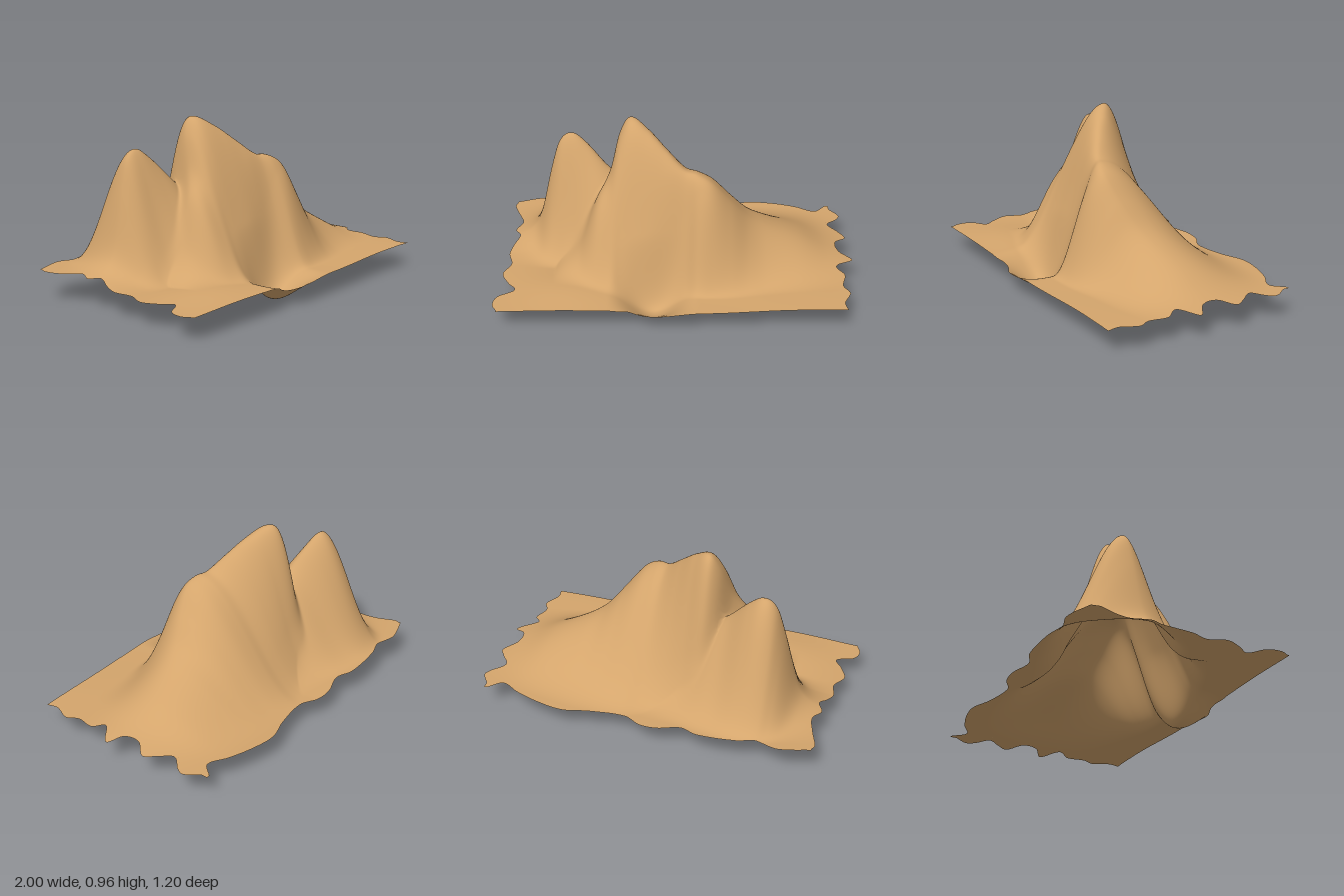
import * as THREE from 'three';

// Smooth curve through rows [key, a, b, ...]; returns the chosen column at k
function sample(rows, k, col = 1) {
  const n = rows.length - 1;
  if (k <= rows[0][0]) return rows[0][col];
  if (k >= rows[n][0]) return rows[n][col];
  let i = 0;
  while (k > rows[i + 1][0]) i++;
  const slope = (j) => {
    const a = rows[Math.max(j - 1, 0)], b = rows[Math.min(j + 1, n)];
    return (b[col] - a[col]) / (b[0] - a[0]);
  };
  const p = rows[i], q = rows[i + 1], w = q[0] - p[0], t = (k - p[0]) / w;
  const t2 = t * t, t3 = t2 * t;
  return p[col] * (2 * t3 - 3 * t2 + 1) + q[col] * (3 * t2 - 2 * t3)
    + w * (slope(i) * (t3 - 2 * t2 + t) + slope(i + 1) * (t3 - t2));
}

const BASE = 0.135;

// Ridges: x, crest height, crest z, front foot z, back foot z
const mainRidge = [
  [-0.68, 0.135, 0.07, 0.34, -0.1],
  [-0.54, 0.29, 0.07, 0.37, -0.12],
  [-0.44, 0.54, 0.06, 0.4, -0.17],
  [-0.36, 0.69, 0.0, 0.43, -0.26],
  [-0.31, 0.87, -0.07, 0.43, -0.35],
  [-0.25, 0.96, -0.09, 0.43, -0.4],
  [-0.15, 0.91, -0.03, 0.42, -0.43],
  [-0.05, 0.82, 0.045, 0.41, -0.47],
  [0.05, 0.735, 0.115, 0.42, -0.51],
  [0.12, 0.725, 0.155, 0.45, -0.54],
  [0.2, 0.68, 0.16, 0.455, -0.55],
  [0.3, 0.56, 0.13, 0.455, -0.55],
  [0.4, 0.44, 0.08, 0.445, -0.55],
  [0.5, 0.37, 0.04, 0.43, -0.54],
  [0.7, 0.27, 0.0, 0.41, -0.51],
  [0.85, 0.19, 0.0, 0.38, -0.48],
  [1.0, 0.14, 0.0, 0.36, -0.45],
];
const sideRidge = [
  [-0.95, 0.15, -0.17, 0.13, -0.5],
  [-0.83, 0.21, -0.17, 0.13, -0.53],
  [-0.77, 0.31, -0.175, 0.14, -0.55],
  [-0.7, 0.6, -0.185, 0.15, -0.58],
  [-0.65, 0.76, -0.19, 0.16, -0.6],
  [-0.58, 0.81, -0.19, 0.2, -0.61],
  [-0.5, 0.76, -0.17, 0.28, -0.61],
  [-0.39, 0.645, -0.13, 0.38, -0.59],
  [-0.3, 0.56, -0.12, 0.4, -0.57],
  [-0.15, 0.37, -0.12, 0.4, -0.53],
  [0.1, 0.135, -0.12, 0.38, -0.5],
];

// Ragged outline of the sheet
const leftEdge = [[-0.56, -0.95], [-0.52, -0.96], [-0.4, -0.92], [-0.3, -0.895], [-0.22, -0.93],
  [-0.15, -0.9], [-0.08, -0.93], [0, -0.95], [0.1, -0.93], [0.2, -0.97], [0.3, -0.93],
  [0.37, -0.89], [0.42, -0.975], [0.5, -1], [0.56, -0.975]];
const rightEdge = [[-0.53, 0.93], [-0.45, 0.98], [-0.4, 0.96], [-0.33, 0.9], [-0.25, 0.95],
  [-0.18, 0.985], [-0.1, 0.92], [0, 0.93], [0.06, 1], [0.15, 0.9], [0.22, 0.94],
  [0.33, 0.92], [0.4, 0.95], [0.5, 0.91], [0.57, 0.92]];
const backEdge = [[-0.96, -0.55], [-0.78, -0.6], [-0.66, -0.57], [-0.55, -0.595], [-0.33, -0.595],
  [-0.23, -0.555], [-0.1, -0.588], [0, -0.58], [0.1, -0.53], [0.3, -0.55], [0.45, -0.59],
  [0.6, -0.57], [0.75, -0.52], [0.86, -0.465], [0.93, -0.53]];
const frontEdge = [[-0.98, 0.56], [-0.3, 0.575], [-0.22, 0.545], [-0.1, 0.59], [0.2, 0.592],
  [0.6, 0.58], [0.9, 0.58]];

const bell = (t) => 0.5 + 0.5 * Math.cos(Math.PI * Math.min(Math.abs(t), 1));

// Height of a ridge above the plain, bell-shaped on each side of its crest
function ridge(rows, x, z, frontPower, backPower) {
  const height = Math.max(sample(rows, x, 1) - BASE, 0);
  const crest = sample(rows, x, 2);
  const foot = sample(rows, x, z > crest ? 3 : 4);
  const t = Math.min((z - crest) / (foot - crest), 1);
  return height * bell(Math.pow(t, z > crest ? frontPower : backPower));
}

function heightAt(x, z) {
  const a = ridge(mainRidge, x, z, 1.03, 1), b = ridge(sideRidge, x, z, 0.78, 0.88);
  // Soft blend of the two ridges
  const k = 0.12, h = Math.max(k - Math.abs(a - b), 0) / k;
  let y = Math.max(a, b) + h * h * k * 0.25 * Math.min(1, Math.min(a, b) * 6);
  // Gully between the two front buttresses, leading to the hollow
  const gullyX = 0.03 - 0.6 * Math.max(z - 0.22, 0);
  y *= 1 - 0.25 * Math.exp(-Math.pow((x - gullyX) / 0.1, 2)) * bell((z - 0.33) / 0.2);
  // Hollow at the front edge
  const dz = z - 0.4;
  const hollow = bell((x + 0.13) / 0.25) * bell(dz / (dz < 0 ? 0.16 : 0.27));
  y = y * (1 - hollow) - 0.135 * hollow;
  // Gentle roll of the plain
  const roll = 0.07 * Math.max(-x, 0) * Math.max(-z, 0)
    + 0.006 * Math.sin(5 * x + 1) * Math.cos(6 * z) - 0.012 * Math.max(z, 0)
    + 0.02 * bell((x + 0.6) / 0.4) * bell((z - 0.35) / 0.3);
  return BASE + y + roll * (1 - hollow);
}

export function createModel() {
  const group = new THREE.Group();
  const nx = 200, nz = 130;
  const geometry = new THREE.PlaneGeometry(2, 1.2, nx, nz).rotateX(-Math.PI / 2);
  const pos = geometry.attributes.position;
  for (let i = 0; i < pos.count; i++) {
    const u = pos.getX(i), v = pos.getZ(i);
    const x0 = u * 0.95, z0 = v * 0.95;
    const x = THREE.MathUtils.lerp(sample(leftEdge, z0), sample(rightEdge, z0), (u + 1) / 2);
    const z = THREE.MathUtils.lerp(sample(backEdge, x0), sample(frontEdge, x0), (v + 0.6) / 1.2);
    pos.setXYZ(i, x, heightAt(x, z), z);
  }
  // Stand the lowest point on the ground
  geometry.computeBoundingBox();
  geometry.translate(0, -geometry.boundingBox.min.y, 0);
  geometry.computeVertexNormals();

  const terrain = new THREE.Mesh(geometry,
    new THREE.MeshStandardMaterial({ color: 0xd4a56c, side: THREE.DoubleSide }));
  terrain.name = 'mountainTerrain';
  group.add(terrain);
  return group;
}
